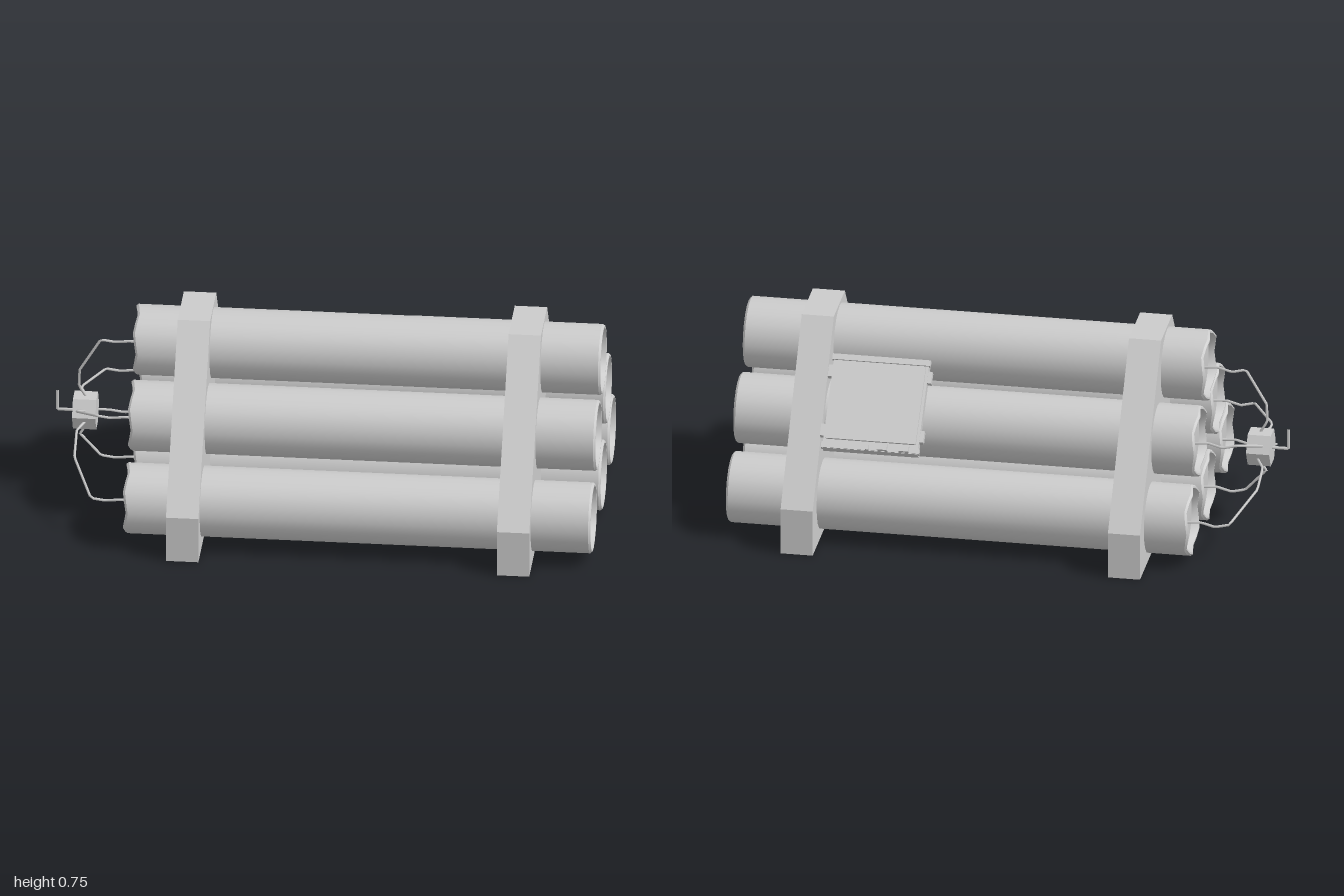
import * as THREE from 'three';
import { toCreasedNormals } from 'three/addons/utils/BufferGeometryUtils.js';

const material = new THREE.MeshStandardMaterial({ color: 0xcccccc });

function add(parent, name, geometry, x = 0, y = 0, z = 0) {
  const mesh = new THREE.Mesh(geometry, material);
  mesh.name = name;
  mesh.position.set(x, y, z);
  parent.add(mesh);
  return mesh;
}

// Tube lying along x, with a recessed cap at both ends
function tubeGeometry() {
  const profile = [
    [0, -0.682], [0.112, -0.678], [0.118, -0.703], [0.124, -0.703], [0.13, -0.695],
    [0.13, 0.985], [0.123, 0.993], [0.118, 0.993], [0.11, 0.95],
    [0.085, 0.958], [0.045, 0.966], [0, 0.969],
  ].map(([r, t]) => new THREE.Vector2(r, t));
  const g = new THREE.LatheGeometry(profile, 20);
  g.rotateZ(-Math.PI / 2);
  // Crimped paper edge on the fuse end
  const p = g.attributes.position;
  for (let i = 0; i < p.count; i++) {
    const y = p.getY(i), z = p.getZ(i);
    if (p.getX(i) < -0.69 && Math.hypot(y, z) > 0.115) {
      p.setX(i, p.getX(i) + 0.006 * Math.sin(5 * Math.atan2(z, y)));
    }
  }
  return toCreasedNormals(g, 0.6);
}

function wireGeometry(points, radius) {
  const path = new THREE.CurvePath();
  const v = points.map((p) => new THREE.Vector3(...p));
  for (let i = 1; i < v.length; i++) path.add(new THREE.LineCurve3(v[i - 1], v[i]));
  return new THREE.TubeGeometry(path, 28, radius, 5);
}

export function createModel() {
  const model = new THREE.Group();
  model.name = 'tubeBundle';

  // Tube centres as [y, z]
  const centres = [
    [0.615, 0.005], [0.4, 0.19], [0.4, -0.19],
    [0.16, 0.378], [0.143, -0.003], [0.155, -0.345],
  ];
  const tube = tubeGeometry();
  const hub = [-0.892, 0.312, -0.008];
  centres.forEach(([y, z]) => {
    add(model, 'tube', tube, 0, y, z);

    // Fuse wire from the tube cap to the hub
    const dy = y - hub[1], dz = z - hub[2], d = Math.hypot(dy, dz);
    const near = (k) => [hub[1] + dy * k, hub[2] + dz * k];
    add(model, 'fuseWire', wireGeometry([
      [-0.67, y - 0.01, z],
      [-0.73, y - 0.008, z + 0.004],
      [-0.785, y - 0.018, z - 0.006],
      [-0.835, y - 0.008, z],
      [-0.912, ...near(0.55)],
      [-0.915, ...near(0.1 / d)],
      [-0.885, ...near(0.05 / d)],
    ], 0.005));
  });

  // Solid brackets that hold the tubes
  const outline = new THREE.Shape([
    [-0.555, 0], [0.555, 0], [0.555, 0.175], [0.118, 0.755], [-0.112, 0.755], [-0.555, 0.175],
  ].map(([a, b]) => new THREE.Vector2(a, b)));
  const bracket = new THREE.ExtrudeGeometry(outline, { depth: 0.118, bevelEnabled: false });
  bracket.rotateY(Math.PI / 2);
  for (const x of [-0.545, 0.658]) add(model, 'bracket', bracket, x);

  // Hexagonal fuse hub with a bent pin
  const hubBody = new THREE.CylinderGeometry(0.069, 0.069, 0.085, 6).toNonIndexed();
  hubBody.computeVertexNormals();
  hubBody.rotateZ(Math.PI / 2);
  add(model, 'fuseHub', hubBody, ...hub);
  add(model, 'hubPin', wireGeometry([
    [-0.93, 0.312, -0.008], [-0.994, 0.312, -0.008], [-0.994, 0.39, -0.008],
  ], 0.006));

  // Control panel leaning on the rear slope: local y is its normal, local z runs up the slope
  const panel = new THREE.Group();
  panel.name = 'controlPanel';
  panel.position.set(0.465, 0.505, -0.322);
  panel.rotation.x = -Math.PI / 4;
  model.add(panel);
  const box = (name, w, h, d, x, y, z) => add(panel, name, new THREE.BoxGeometry(w, h, d), x, y, z);
  box('panelBody', 0.35, 0.034, 0.36, 0, 0, 0);
  box('panelCover', 0.33, 0.012, 0.3, 0, 0.02, 0.005);
  box('panelTopRail', 0.36, 0.02, 0.022, 0, 0.014, 0.172);
  box('panelBottomRail', 0.36, 0.02, 0.022, 0, 0.01, -0.168);
  for (const x of [-0.125, -0.045]) box('panelButton', 0.036, 0.02, 0.024, x, 0.024, -0.166);
  box('panelSwitch', 0.012, 0.016, 0.02, 0.01, 0.024, -0.17);
  for (const side of [-1, 1]) {
    for (const z of [-0.11, 0.12]) box('panelClip', 0.02, 0.024, 0.045, side * 0.18, 0.003, z);
  }

  return model;
}
